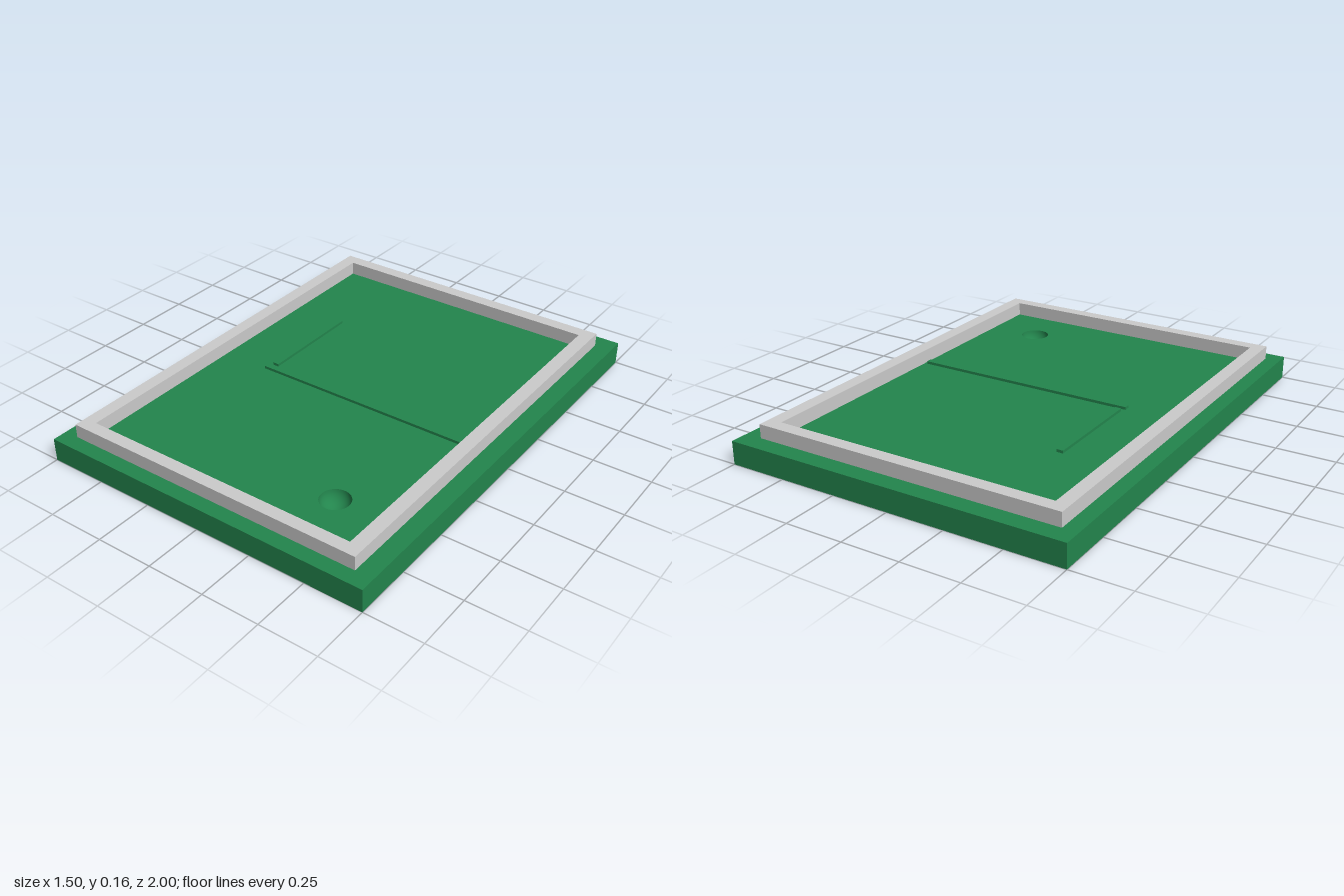
import * as THREE from 'three';

const green = new THREE.MeshStandardMaterial({ color: 0x23854d });
const grey = new THREE.MeshStandardMaterial({ color: 0xcccccc });

// Counter-clockwise rectangle outline in plan; plan y is -z
function rect(PathType, x0, x1, z0, z1) {
  return new PathType([[x0, z1], [x1, z1], [x1, z0], [x0, z0]].map(([x, z]) => new THREE.Vector2(x, -z)));
}

export function createModel() {
  const model = new THREE.Group();
  const add = (name, geometry, material) => {
    const mesh = new THREE.Mesh(geometry, material);
    mesh.name = name;
    model.add(mesh);
    return mesh;
  };

  const top = 0.1;
  const bowl = { x: 0.387, z: 0.66, r: 0.063 };

  // Slab sides and underside: a box without its top face
  const slab = new THREE.BoxGeometry(1.5, top, 2).translate(0, top / 2, 0);
  slab.setIndex([...slab.index.array].filter((_, i) => i < 12 || i > 17));
  slab.clearGroups();
  add('baseSlab', slab, green);

  // Slab top, cut open for the round hollow
  const surface = rect(THREE.Shape, -0.75, 0.75, -1, 1);
  const rim = new THREE.Path();
  rim.absarc(bowl.x, -bowl.z, bowl.r, 0, Math.PI * 2);
  surface.holes.push(rim);
  add('baseTop', new THREE.ShapeGeometry(surface, 16).rotateX(-Math.PI / 2).translate(0, top, 0), green);

  // Round hollow, seen from inside
  const profile = [];
  for (let i = 0; i <= 10; i++) {
    const a = (i / 10) * Math.PI / 2;
    profile.push(new THREE.Vector2(Math.cos(a) * bowl.r, -Math.sin(a) * bowl.r));
  }
  add('roundHollow', new THREE.LatheGeometry(profile, 32), green).position.set(bowl.x, top, bowl.z);

  // Flat shape standing on the slab top
  const raise = (name, shape, height, material) => add(name,
    new THREE.ExtrudeGeometry(shape, { depth: height, bevelEnabled: false })
      .rotateX(-Math.PI / 2).translate(0, top, 0), material);

  // Low ridges
  raise('longRidge', rect(THREE.Shape, -0.41, 0.6, 0.07, 0.095), 0.012, green);
  raise('shortRidge', rect(THREE.Shape, -0.4, -0.372, -0.425, 0.05), 0.012, green);

  // Raised border frame
  const border = rect(THREE.Shape, -0.685, 0.673, -0.922, 0.935);
  border.holes.push(rect(THREE.Path, -0.627, 0.613, -0.865, 0.88));
  raise('raisedFrame', border, 0.06, grey);

  return model;
}
